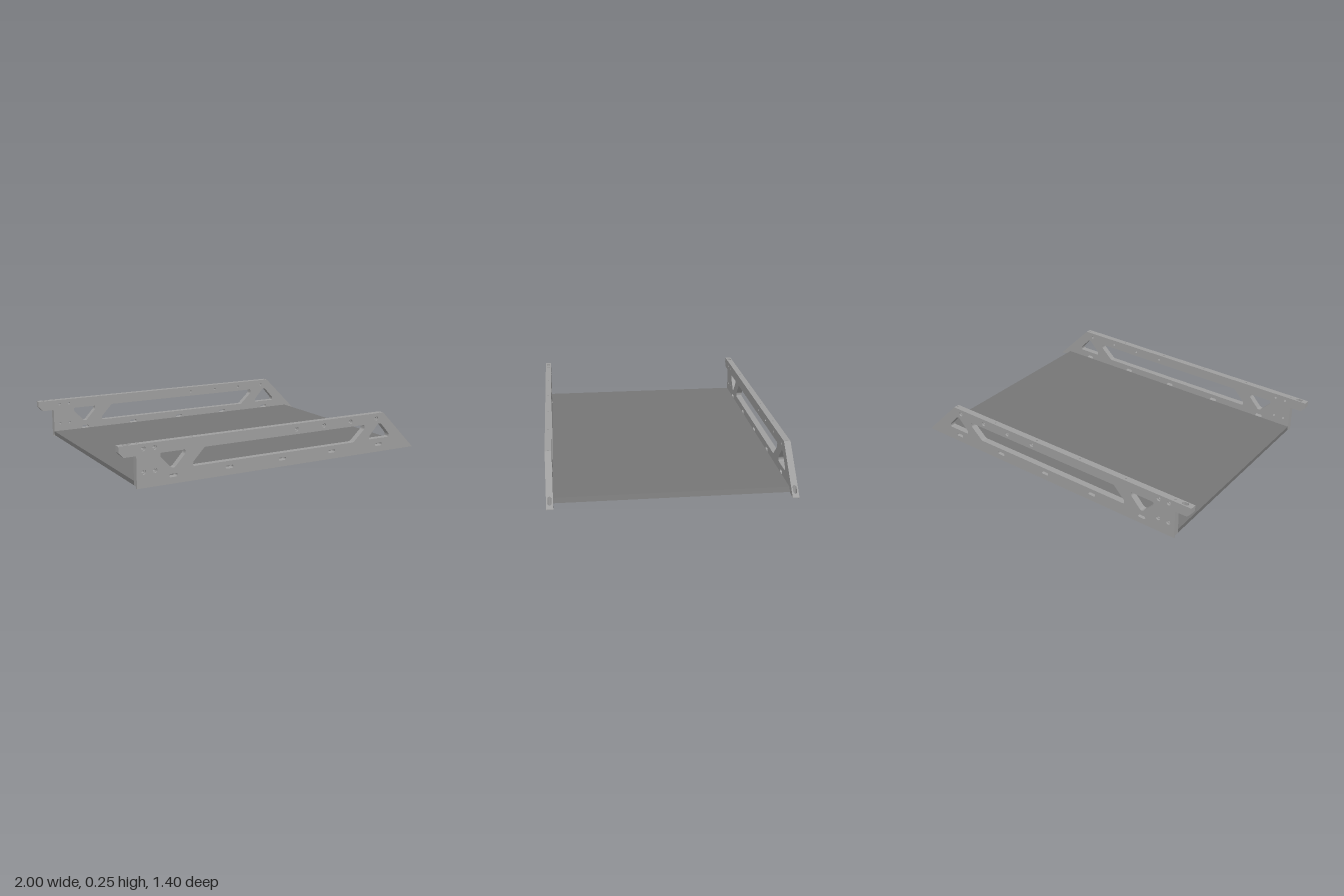
import * as THREE from 'three';

const railMaterial = new THREE.MeshStandardMaterial({ color: 0x9e9e9e });
const floorMaterial = new THREE.MeshStandardMaterial({ color: 0x757575 });
const Z_IN = 0.655, Z_MID = 0.682, Z_OUT = 0.693; // rail thickness steps
const Z_C = (Z_IN + Z_OUT) / 2;
const TOP = 0.245, CAP = 0.235, LIP = 0.012, EAR = 0.181;

const polygon = (points) => new THREE.Shape(points.map(([x, y]) => new THREE.Vector2(x, y)));

function circle(x, y, r) {
  return new THREE.Path().absarc(x, y, r, 0, Math.PI * 2, true);
}

function slot(x, y, half, r) {
  const p = new THREE.Path();
  p.absarc(x + half - r, y, r, -Math.PI / 2, Math.PI / 2, false);
  p.absarc(x - half + r, y, r, Math.PI / 2, Math.PI * 1.5, false);
  p.closePath();
  return p;
}

// Closed outline with softened corners
function softPolygon(points, r = 0.008) {
  const path = new THREE.Path();
  const v = points.map(([x, y]) => new THREE.Vector2(x, y));
  v.forEach((corner, i) => {
    const before = v[(i + v.length - 1) % v.length], after = v[(i + 1) % v.length];
    const a = corner.clone().add(before.clone().sub(corner).setLength(r));
    const b = corner.clone().add(after.clone().sub(corner).setLength(r));
    if (i === 0) path.moveTo(a.x, a.y); else path.lineTo(a.x, a.y);
    path.quadraticCurveTo(corner.x, corner.y, b.x, b.y);
  });
  path.closePath();
  return path;
}

function add(group, name, geometry, material = railMaterial) {
  const mesh = new THREE.Mesh(geometry, material);
  mesh.name = name;
  group.add(mesh);
}

// Side profile (x, y) extruded from z0 to z1
function sidePlate(shape, z0, z1) {
  const g = new THREE.ExtrudeGeometry(shape, { depth: z1 - z0, bevelEnabled: false, curveSegments: 10 });
  return g.translate(0, 0, z0);
}

// Plan outline (x, -z) extruded upwards; rule may move each vertex
function uprightBlock(x0, x1, y0, y1, holes, rule) {
  const shape = polygon([[x0, -Z_OUT], [x1, -Z_OUT], [x1, -Z_IN], [x0, -Z_IN]]);
  shape.holes.push(...holes);
  const g = new THREE.ExtrudeGeometry(shape, { depth: y1 - y0, bevelEnabled: false, curveSegments: 10 });
  g.rotateX(-Math.PI / 2).translate(0, y0, 0);
  if (rule) {
    const p = g.attributes.position;
    const v = new THREE.Vector3();
    for (let i = 0; i < p.count; i++) {
      rule(v.fromBufferAttribute(p, i));
      p.setXYZ(i, v.x, v.y, v.z);
    }
    g.computeVertexNormals();
  }
  return g;
}

// One layer of the pierced side web
function web(bottom, screwRadius) {
  const shape = polygon([[-0.897, bottom], [0.92, bottom], [0.92, 0.082], [0.767, CAP], [-0.897, CAP]]);
  shape.holes.push(
    softPolygon([[-0.757, 0.182], [-0.607, 0.182], [-0.607, 0.161], [-0.672, 0.09], [-0.69, 0.09], [-0.757, 0.161]]),
    softPolygon([[-0.488, 0.182], [0.615, 0.182], [0.615, 0.156], [0.535, 0.082], [-0.56, 0.082], [-0.56, 0.106]]),
    softPolygon([[0.655, 0.086], [0.807, 0.086], [0.807, 0.106], [0.741, 0.179], [0.721, 0.179], [0.655, 0.106]]));
  for (const x of [-0.681, -0.331, 0.022, 0.374, 0.729]) shape.holes.push(slot(x, 0.047, 0.025, 0.0095));
  for (const x of [-0.856, -0.79])
    for (const y of [0.088, 0.217]) shape.holes.push(circle(x, y, screwRadius));
  for (const x of [0.118, 0.313, 0.508, 0.704]) shape.holes.push(circle(x, 0.212, screwRadius));
  return shape;
}

function sideRail(name) {
  const rail = new THREE.Group();
  rail.name = name;

  // Web in two layers, so the screw holes are counterbored and the outer layer forms a lip
  add(rail, 'innerWeb', sidePlate(web(LIP, 0.008), Z_IN, Z_MID));
  add(rail, 'outerWeb', sidePlate(web(0, 0.014), Z_MID, Z_OUT));

  // Top strip with blind screw holes and the mounting slot
  const earSlot = () => slot(-0.947, -Z_C, 0.02, 0.012);
  const screws = [-0.885, -0.56, -0.235, 0.09, 0.42, 0.742].map((x) => circle(x, -Z_C, 0.006));
  add(rail, 'topStrip', uprightBlock(-0.997, 0.757, CAP, TOP, [earSlot(), ...screws], (v) => {
    if (v.x > 0.755 && v.y < 0.24) v.x += 0.01;
  }));

  // Overhanging ear with a chamfered tip
  add(rail, 'mountingEar', uprightBlock(-0.97, -0.897, EAR, CAP, [earSlot()]));
  add(rail, 'earTip', sidePlate(
    polygon([[-0.997, 0.21], [-0.97, EAR], [-0.97, CAP], [-0.997, CAP]]), Z_IN, Z_OUT));

  // Sloped, slotted nose whose underside tapers to the tip, and its lip
  add(rail, 'nose', uprightBlock(0.92, 0.997, LIP, 0.082, [slot(0.963, -Z_C, 0.018, 0.011)], (v) => {
    v.y = v.y > 0.05 ? 1.002 - v.x : LIP - 0.13 * (v.x - 0.92);
  }));
  add(rail, 'noseLip', sidePlate(
    polygon([[0.92, 0], [0.997, 0], [0.997, 0.005], [0.99, LIP], [0.92, LIP]]), Z_MID + 0.004, Z_OUT));
  return rail;
}

export function createModel() {
  const model = new THREE.Group();
  model.name = 'tray';

  // Floor panel with a sloped right end
  add(model, 'floorPanel', sidePlate(
    polygon([[-0.897, 0.012], [0.936, 0.012], [0.92, 0.037], [-0.897, 0.037]]), -Z_IN, Z_IN), floorMaterial);

  const front = sideRail('frontRail');
  const back = sideRail('backRail');
  back.scale.z = -1;
  model.add(front, back);

  // The tray sits very slightly turned
  model.rotation.y = -0.006;
  const root = new THREE.Group();
  root.name = 'trayAssembly';
  root.add(model);
  return root;
}
